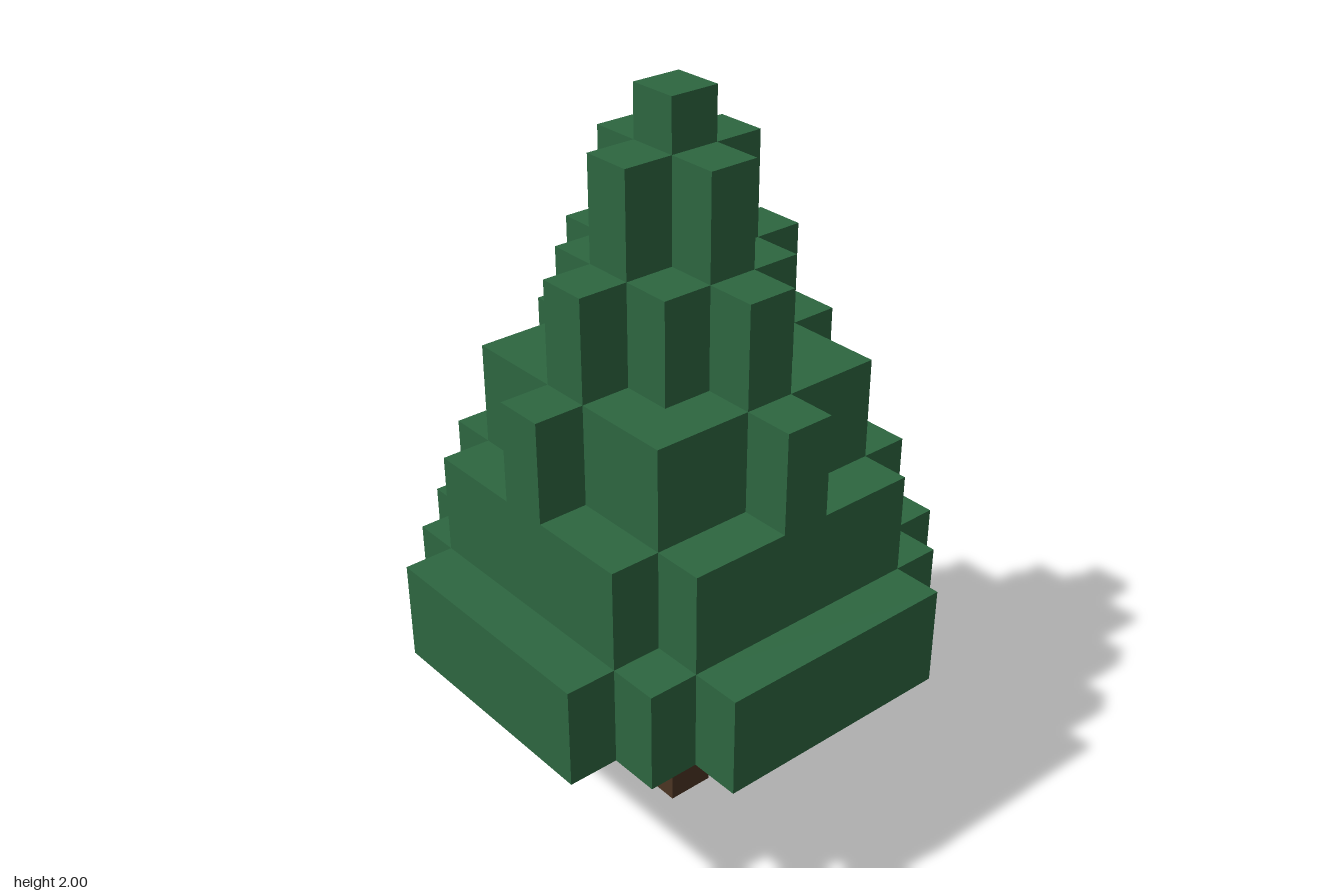
import * as THREE from 'three';

const U = 2 / 15; // size of one block

export function createModel() {
  const leaf = new THREE.MeshStandardMaterial({ color: 0x2d6640 });
  leaf.name = 'leaf green';
  const bark = new THREE.MeshStandardMaterial({ color: 0x4a3422 });
  bark.name = 'bark brown';

  const tree = new THREE.Group();
  tree.name = 'tree';

  // Trunk
  const trunk = new THREE.Mesh(new THREE.BoxGeometry(U, 4 * U, U), bark);
  trunk.name = 'trunk';
  trunk.position.y = 2 * U;
  tree.add(trunk);

  // Stepped slab: one quarter of its outline, turned four times and extruded upwards
  function addTier(name, bottom, height, quarter) {
    const outline = [];
    for (let k = 0; k < 4; k++) {
      for (const [a, b] of quarter) {
        let x = a, y = b;
        for (let i = 0; i < k; i++) [x, y] = [-y, x];
        outline.push(new THREE.Vector2(x * U, y * U));
      }
    }
    const geometry = new THREE.ExtrudeGeometry(new THREE.Shape(outline), { depth: height * U, bevelEnabled: false });
    geometry.rotateX(-Math.PI / 2);
    const mesh = new THREE.Mesh(geometry, leaf);
    mesh.name = name;
    mesh.position.y = bottom * U;
    tree.add(mesh);
  }

  // Outline corners in blocks, from the +x side round to the next side
  const notched = (outer, inner) => [[outer, inner], [inner, inner], [inner, outer]];
  const stepped = (a, b, c) => [[a, c], [b, c], [b, b], [c, b], [c, a]];

  // Foliage, from the skirt to the tip
  addTier('foliageSkirt', 4, 2, stepped(4.5, 3.5, 2.5));
  addTier('foliageLower', 6, 2, notched(3.5, 2.5));
  addTier('foliageMiddle', 8, 2, stepped(3.5, 2.5, 0.5));
  addTier('foliageUpper', 10, 2, stepped(2.5, 1.5, 0.5));
  addTier('foliageTop', 12, 2, notched(1.5, 0.5));
  addTier('foliageTip', 14, 1, [[0.5, 0.5]]);

  return tree;
}
